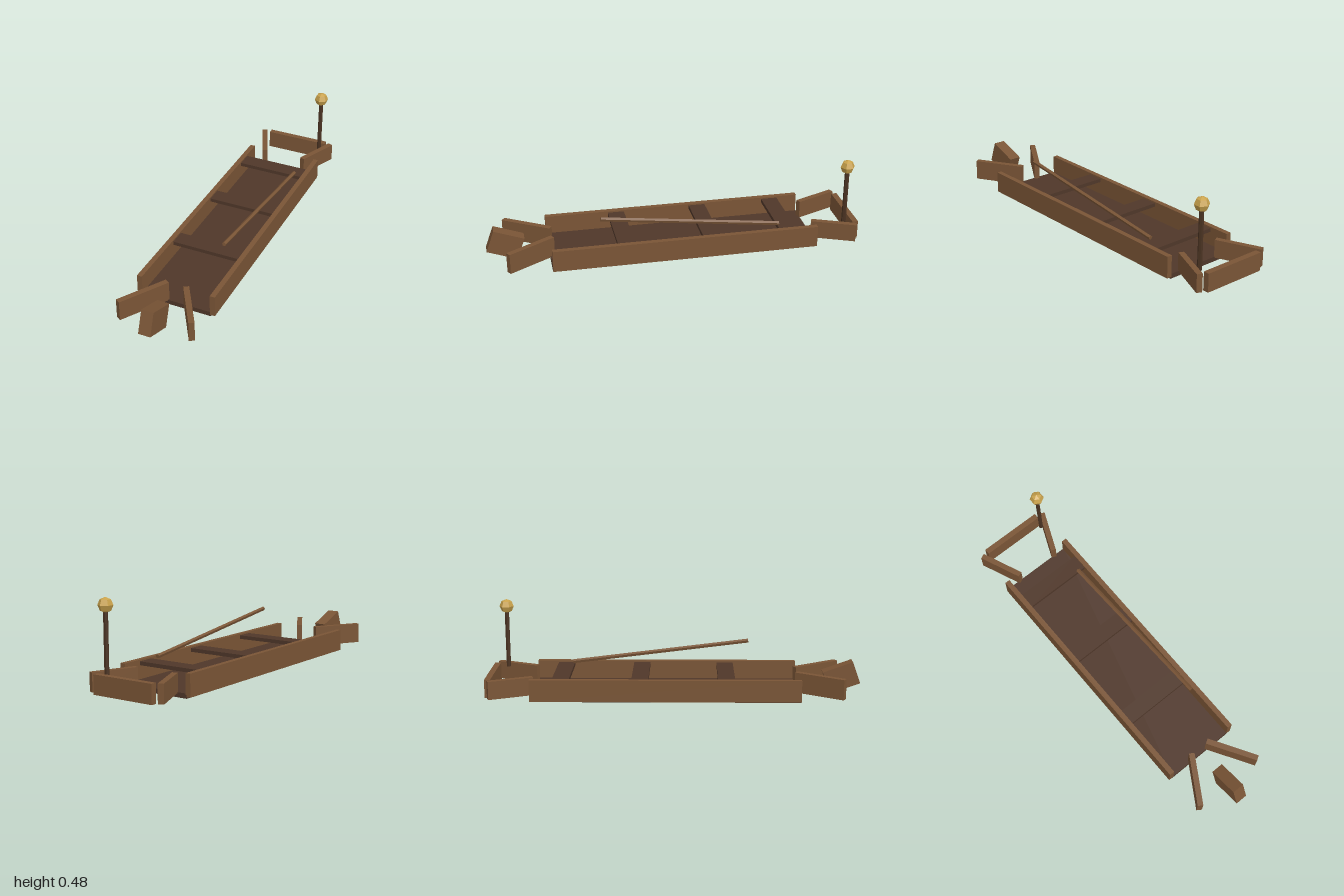
import * as THREE from 'three';

const paint = (color) => new THREE.MeshStandardMaterial({ color, flatShading: true });

export function createModel() {
  const boat = new THREE.Group();
  boat.name = 'boat';
  const wood = paint(0x7a5536);
  const darkWood = paint(0x4f3729);
  const poleWood = paint(0x4a3322);
  const gold = paint(0xc9a24c);

  const add = (name, geometry, material, x, y, z) => {
    const mesh = new THREE.Mesh(geometry, material);
    mesh.name = name;
    mesh.position.set(x, y, z);
    boat.add(mesh);
    return mesh;
  };
  const box = (name, material, w, h, d, x, y, z) =>
    add(name, new THREE.BoxGeometry(w, h, d), material, x, y, z);

  // Flat hull bottom
  box('floor', darkWood, 0.39, 0.025, 1.43, 0, 0.0125, -0.045);

  // Long sides and the splayed boards at both ends
  for (const [side, s] of [['left', 1], ['right', -1]]) {
    box(side + 'Side', wood, 0.028, 0.117, 1.43, s * 0.203, 0.0665, -0.045);
    box(side + 'BowBoard', wood, 0.03, 0.11, 0.285, s * 0.127, 0.075, 0.775).rotation.y = s * 0.55;
    box(side + 'SternBoard', wood, 0.03, 0.098, 0.245, s * 0.167, 0.069, -0.865).rotation.y = -s * 0.4;
  }

  // Tilted stem block and stern transom
  box('stemBlock', wood, 0.066, 0.125, 0.17, 0, 0.0915, 0.9).rotation.x = -0.35;
  box('transom', wood, 0.357, 0.1, 0.032, 0, 0.066, -0.984);

  // Benches
  for (const z of [-0.6, -0.18, 0.278]) {
    box('bench', darkWood, 0.38, 0.02, 0.09, 0, 0.107, z);
  }

  // Oar leaning across the benches
  const oar = new THREE.CylinderGeometry(0.0115, 0.0115, 0.972, 5, 1, false, Math.PI);
  add('oar', oar, wood, 0.1455, 0.193, -0.077).rotation.x = Math.PI / 2 - 0.124;

  // Lantern post with its faceted globe
  add('lanternPost', new THREE.CylinderGeometry(0.0125, 0.0125, 0.32, 6), poleWood, 0.162, 0.26, -0.922)
    .rotation.y = Math.PI / 2;
  add('lanternGlobe', new THREE.SphereGeometry(0.039, 6, 4), gold, 0.162, 0.441, -0.922)
    .rotation.y = Math.PI / 2;

  return boat;
}
